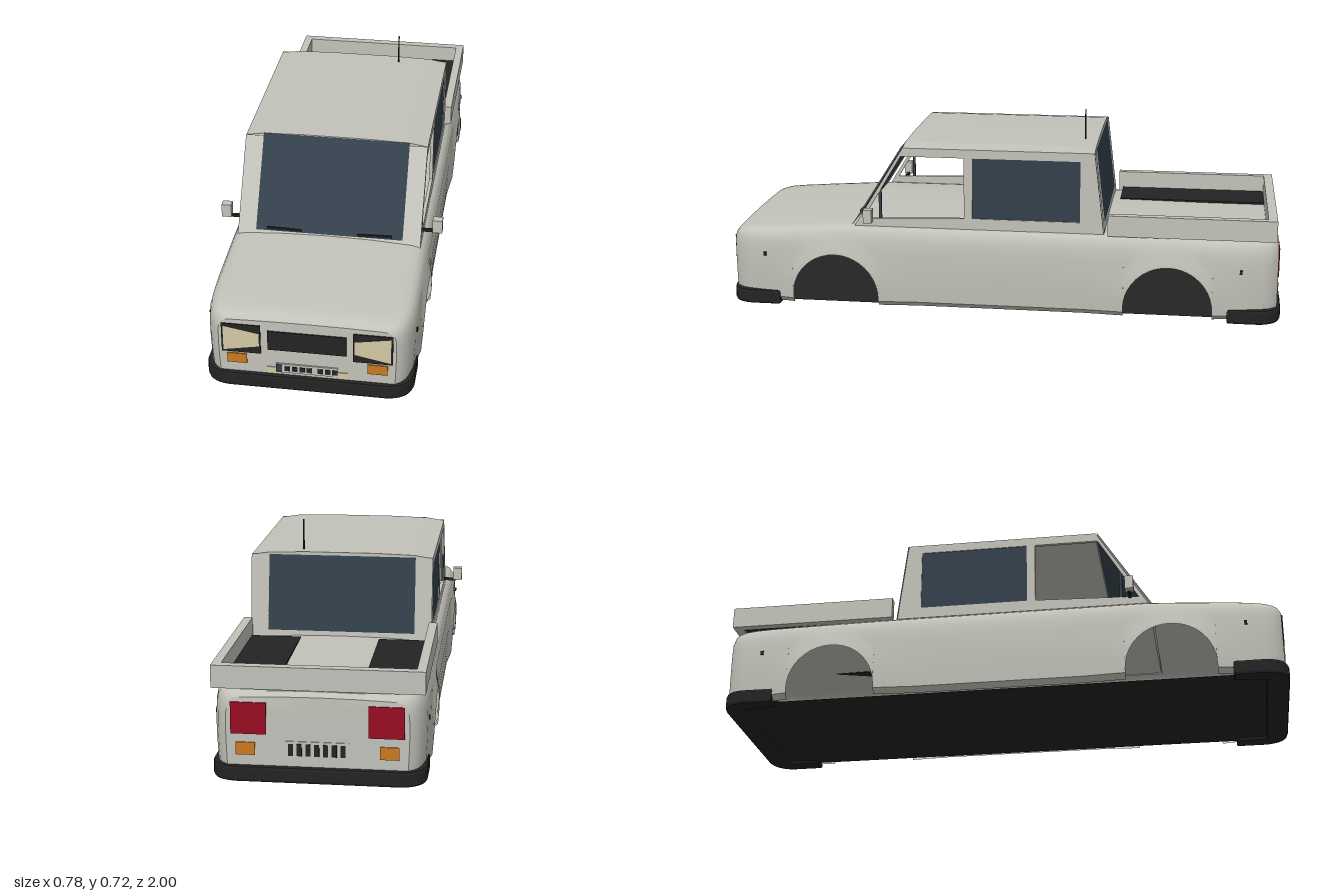
import * as THREE from 'three';
import { toCreasedNormals } from 'three/addons/utils/BufferGeometryUtils.js';

const mat = (name, color, side = THREE.FrontSide) => {
  const m = new THREE.MeshStandardMaterial({ color, side });
  m.name = name;
  return m;
};

// Piecewise linear lookup in rows of [key, value], keys ascending
function lookup(rows, v) {
  if (v <= rows[0][0]) return rows[0][1];
  for (let i = 1; i < rows.length; i++) {
    const [k0, a] = rows[i - 1], [k1, b] = rows[i];
    if (v <= k1) return a + (b - a) * (v - k0) / (k1 - k0);
  }
  return rows[rows.length - 1][1];
}

// Hollow lofted shell: sections run from the left sill over the top to the right sill
function bodyShell() {
  const sideX = [[0.012, 0.325], [0.03, 0.342], [0.1, 0.347], [0.17, 0.349], [0.215, 0.348]];
  const shoulder = [[0.346, 0.25], [0.34, 0.278], [0.33, 0.297], [0.315, 0.307], [0.29, 0.311], [0.15, 0.317], [0, 0.319]];
  const width = [[0.8, 0.35], [0.88, 0.345], [0.93, 0.335], [0.955, 0.325], [0.972, 0.312], [0.985, 0.295]];
  const topY = [[-0.985, 0.287], [-0.972, 0.303], [-0.94, 0.311], [-0.37, 0.318], [0.53, 0.319], [0.94, 0.288], [0.972, 0.278], [0.985, 0.262]];
  const archZ = 0.6, archY = 0.045, archR = 0.157, mid = 0.215;

  // Stations [z, lower edge, is end cap]
  const half = [[0.985, 0.012, true]];
  for (const z of [0.985, 0.98, 0.972, 0.955, 0.93, 0.88, 0.82, 0.7571]) half.push([z, 0.012]);
  for (let i = 0; i <= 20; i++) {
    const a = Math.PI * i / 20;
    half.push([archZ + archR * Math.cos(a), archY + archR * Math.sin(a)]);
  }
  half.push([0.4429, 0.012], [0.3, 0.012]);
  const stations = [...half, [0, 0.012], ...half.slice().reverse().map(([z, y, cap]) => [-z, y, cap])];

  const pos = [], index = [];
  let n = 0;
  for (const [z, low, cap] of stations) {
    const s = lookup(width, Math.abs(z)) / 0.35;
    const top = lookup(topY, z);
    const pts = [0, 0.09, 0.3, 0.55, 0.8, 1].map(t => {
      const y = low + (mid - low) * t;
      const r = Math.hypot(Math.abs(z) - archZ, y - archY);
      const flare = 0.01 * THREE.MathUtils.clamp((0.21 - r) / 0.05, 0, 1);
      return [lookup(sideX, y) * s + flare, y];
    });
    for (const [x, y] of shoulder) pts.push([x * s, mid + (y - mid) * (top - mid) / (0.319 - mid)]);
    const row = [...pts, ...pts.slice(0, -1).reverse().map(([x, y]) => [-x, y])];
    n = row.length;
    for (const [x, y] of row) pos.push(cap ? 0 : x, y, z);
  }
  for (let j = 0; j < stations.length - 1; j++) {
    for (let i = 0; i < n - 1; i++) {
      const a = j * n + i, b = a + n;
      index.push(a, b, a + 1, b, b + 1, a + 1);
    }
  }
  const g = new THREE.BufferGeometry();
  g.setAttribute('position', new THREE.Float32BufferAttribute(pos, 3));
  g.setIndex(index);
  return toCreasedNormals(g, 0.6);
}

// Flat four-cornered panel, corners counter-clockwise from outside
function quad(...c) {
  const g = new THREE.BufferGeometry();
  g.setAttribute('position', new THREE.Float32BufferAttribute(c.flat(), 3));
  g.setIndex([0, 1, 2, 0, 2, 3]);
  g.computeVertexNormals();
  return g;
}

const polygon = pts => new THREE.Shape(pts.map(([x, y]) => new THREE.Vector2(x, y)));

export function createModel() {
  const car = new THREE.Group();
  car.name = 'pickup';
  const paint = mat('paint', 0xc2c2ba, THREE.DoubleSide);
  const glass = mat('glass', 0x33404b, THREE.DoubleSide);
  const black = mat('black trim', 0x232323, THREE.DoubleSide);
  const cream = mat('lamp cream', 0xd2c8a4);
  const orange = mat('indicator orange', 0xc87a20);
  const red = mat('tail red', 0x980c22);

  const add = (name, geo, m) => {
    const mesh = new THREE.Mesh(geo, m);
    mesh.name = name;
    car.add(mesh);
    return mesh;
  };
  // Box given by its extents
  const box = (name, m, x0, x1, y0, y1, z0, z1) => {
    const mesh = add(name, new THREE.BoxGeometry(x1 - x0, y1 - y0, z1 - z0), m);
    mesh.position.set((x0 + x1) / 2, (y0 + y1) / 2, (z0 + z1) / 2);
    return mesh;
  };
  const pair = (name, m, x0, x1, ...rest) => {
    box(name + 'Left', m, x0, x1, ...rest);
    box(name + 'Right', m, -x1, -x0, ...rest);
  };

  add('body', bodyShell(), paint);
  add('floor', new THREE.PlaneGeometry(0.63, 1.84).rotateX(Math.PI / 2), black).position.y = 0.013;

  // Cab sides with window openings
  const side = polygon([[0.53, 0.305], [0.35, 0.597], [-0.335, 0.597], [-0.37, 0.305]]);
  side.holes.push(
    polygon([[0.497, 0.333], [0.357, 0.566], [0.13, 0.566], [0.13, 0.345]]),
    polygon([[0.1, 0.345], [0.1, 0.566], [-0.285, 0.566], [-0.285, 0.345]]));
  for (const [label, x] of [['Left', 0.32], ['Right', -0.308]]) {
    const g = new THREE.ExtrudeGeometry(side, { depth: 0.012, bevelEnabled: false }).rotateY(-Math.PI / 2);
    add('cabSide' + label, g, paint).position.x = x;
  }
  pair('rearSideWindow', glass, 0.311, 0.317, 0.345, 0.566, -0.285, 0.1);
  pair('quarterWindowBar', glass, 0.309, 0.317, 0.335, 0.445, 0.43, 0.44);

  // Cambered roof
  const roof = polygon([[-0.32, 0.585], [0.32, 0.585], [0.32, 0.597], [0.257, 0.607], [0.12, 0.611],
    [-0.12, 0.611], [-0.257, 0.607], [-0.32, 0.597]]);
  add('roof', new THREE.ExtrudeGeometry(roof, { depth: 0.685, bevelEnabled: false }), paint).position.z = -0.335;

  // Windscreen, rear window and their pillars
  const frontZ = y => 0.535 - (y - 0.315) * 0.18 / 0.285;
  const backZ = y => -0.372 + (y - 0.312) * 0.035 / 0.293;
  const front = (x0, x1, y0, y1) => quad([x0, y0, frontZ(y0)], [x1, y0, frontZ(y0)], [x1, y1, frontZ(y1)], [x0, y1, frontZ(y1)]);
  const back = (x0, x1, y0, y1) => quad([x1, y0, backZ(y0)], [x0, y0, backZ(y0)], [x0, y1, backZ(y1)], [x1, y1, backZ(y1)]);
  add('windscreen', front(-0.257, 0.257, 0.322, 0.608), glass);
  add('windscreenBase', front(-0.257, 0.257, 0.305, 0.322), paint);
  add('rearWindow', back(-0.26, 0.26, 0.333, 0.6), glass);
  add('rearWindowBase', back(-0.26, 0.26, 0.305, 0.333), paint);
  for (const [x0, x1] of [[-0.32, -0.257], [0.257, 0.32]]) {
    add('frontPillar', front(x0, x1, 0.305, 0.6), paint);
    add('rearPillar', back(x0, x1, 0.305, 0.6), paint);
  }
  for (const x of [-0.157, 0.16]) {
    const wiper = box('wiper', black, x - 0.06, x + 0.06, 0.327, 0.335, 0.527, 0.533);
    wiper.rotation.z = x < 0 ? -0.03 : 0.03;
  }

  // Load bed rails and dark floor strips
  pair('bedRail', paint, 0.312, 0.342, 0.305, 0.38, -0.975, -0.385);
  box('bedTailRail', paint, -0.312, 0.312, 0.305, 0.38, -0.975, -0.943);
  pair('bedStrip', black, 0.138, 0.312, 0.312, 0.319, -0.943, -0.4);

  // Wrap-around bumpers
  const plan = new THREE.Shape();
  plan.moveTo(-0.338, 0.82);
  plan.lineTo(-0.338, 0.92);
  plan.quadraticCurveTo(-0.33, 0.985, -0.26, 0.989);
  plan.lineTo(0.26, 0.989);
  plan.quadraticCurveTo(0.33, 0.985, 0.338, 0.92);
  plan.lineTo(0.338, 0.82);
  plan.lineTo(0.3, 0.82);
  plan.lineTo(0.29, 0.93);
  plan.lineTo(-0.29, 0.93);
  plan.lineTo(-0.3, 0.82);
  const bumper = new THREE.ExtrudeGeometry(plan, {
    depth: 0.035, bevelThickness: 0.01, bevelSize: 0.01, bevelSegments: 2, curveSegments: 8 })
    .rotateX(Math.PI / 2).translate(0, 0.045, 0);
  add('frontBumper', bumper, black);
  add('rearBumper', bumper, black).rotation.y = Math.PI;

  // Front face: grille, lamps, plate
  const F = 0.985;
  box('grille', black, -0.13, 0.13, 0.152, 0.225, F, F + 0.004);
  pair('headlightFrame', black, 0.153, 0.283, 0.133, 0.242, F - 0.003, F + 0.004);
  for (const s of [1, -1]) {
    const pts = [[0.158, 0.163], [0.277, 0.14], [0.277, 0.233], [0.158, 0.212]].map(([x, y]) => [s * x, y, F + 0.006]);
    add('headlightLens', quad(...(s > 0 ? pts : pts.reverse())), cream);
  }
  pair('frontIndicator', orange, 0.2, 0.266, 0.09, 0.126, F, F + 0.004);
  pair('fogLamp', cream, 0.085, 0.134, 0.06, 0.083, F, F + 0.003);
  box('frontPlate', paint, -0.103, 0.103, 0.066, 0.1, F, F + 0.005);
  box('frontPlateBand', glass, -0.103, -0.083, 0.068, 0.098, F, F + 0.007);
  for (const x of [-0.065, -0.04, -0.016, 0.008, 0.045, 0.069, 0.092]) {
    box('frontPlateMark', black, x - 0.009, x + 0.009, 0.074, 0.092, F, F + 0.007);
  }

  // Rear face: lamps, plate, exhaust
  pair('tailLight', red, 0.163, 0.278, 0.16, 0.265, -F - 0.004, -F + 0.003);
  pair('rearIndicator', orange, 0.2, 0.262, 0.09, 0.132, -F - 0.004, -F);
  box('rearPlate', paint, -0.103, 0.103, 0.085, 0.14, -F - 0.003, -F);
  for (let i = 0; i < 7; i++) {
    const x = -0.083 + i * 0.028;
    box('rearPlateMark', black, x - 0.008, x + 0.008, 0.092, 0.132, -F - 0.005, -F);
  }
  const exhaust = add('exhaust', new THREE.CylinderGeometry(0.013, 0.013, 0.1, 12).rotateX(Math.PI / 2), black);
  exhaust.position.set(0.17, 0.033, -0.95);

  // Mirrors, side markers, aerial
  pair('mirrorArm', black, 0.318, 0.366, 0.329, 0.339, 0.462, 0.472);
  pair('mirror', paint, 0.355, 0.389, 0.334, 0.382, 0.453, 0.483);
  pair('frontMarker', black, 0.34, 0.35, 0.186, 0.2, 0.856, 0.866);
  pair('rearMarker', black, 0.34, 0.35, 0.186, 0.2, -0.86, -0.85);
  add('aerial', new THREE.CylinderGeometry(0.0025, 0.003, 0.12, 8), black).position.set(0.141, 0.658, -0.287);

  return car;
}
